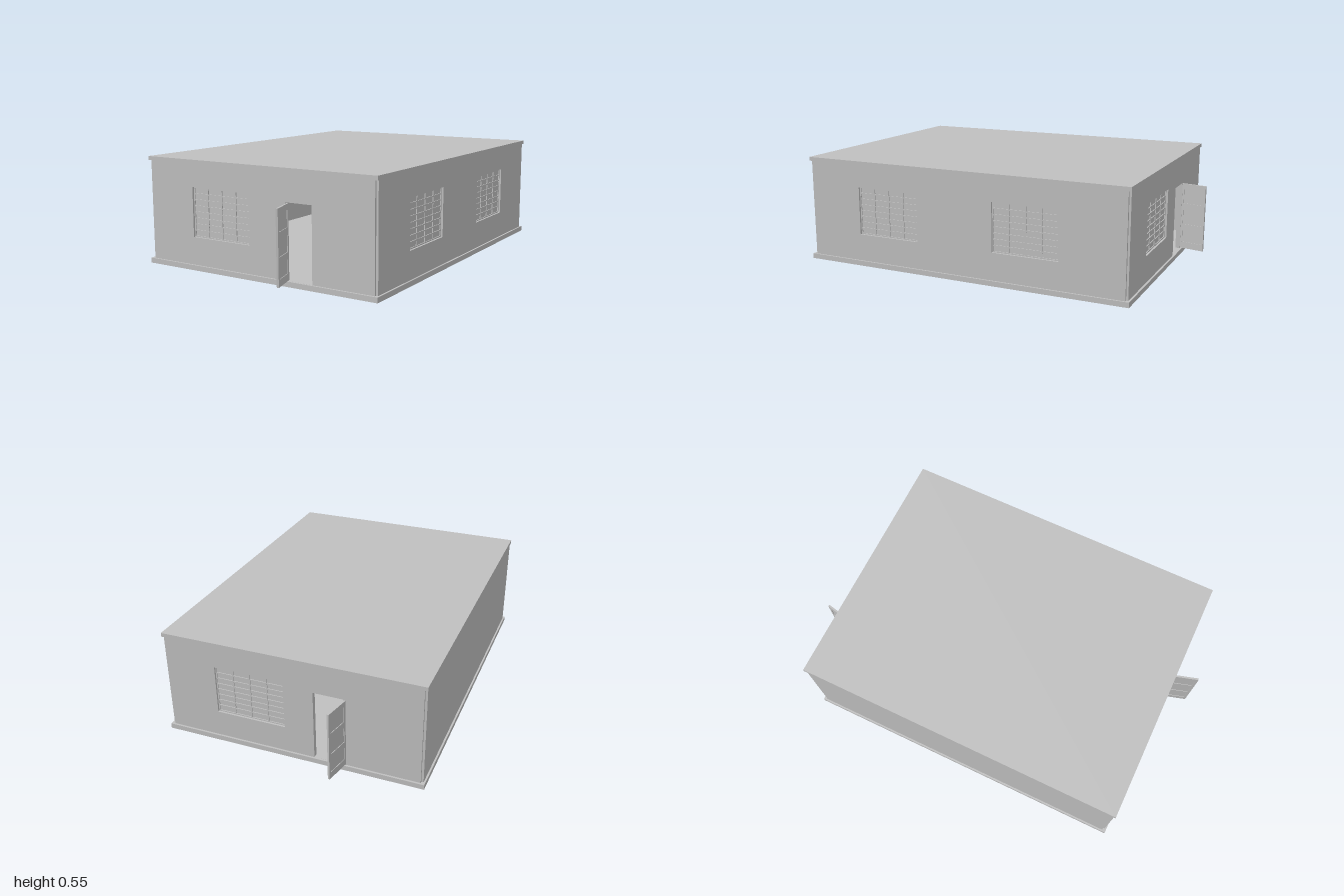
import * as THREE from 'three';

const grey = new THREE.MeshStandardMaterial({ color: 0xc0c0c0 });
grey.name = 'plain grey';

const WALL = 0.024, Y0 = 0.026, Y1 = 0.535;

function rectPath(x0, x1, y0, y1, P = THREE.Path) {
  const p = new P();
  p.moveTo(x0, y0);
  p.lineTo(x1, y0);
  p.lineTo(x1, y1);
  p.lineTo(x0, y1);
  p.closePath();
  return p;
}

// Flat panel with rectangular openings, front face at z = 0
function panel(name, outer, holes, depth) {
  const s = rectPath(...outer, THREE.Shape);
  holes.forEach(h => s.holes.push(rectPath(...h)));
  const g = new THREE.ExtrudeGeometry(s, { depth, bevelEnabled: false });
  g.translate(0, 0, -depth);
  const m = new THREE.Mesh(g, grey);
  m.name = name;
  return m;
}

function box(name, w, h, d, x, y, z) {
  const m = new THREE.Mesh(new THREE.BoxGeometry(w, h, d), grey);
  m.name = name;
  m.position.set(x, y, z);
  return m;
}

// Multi-pane window set back in its opening
function makeWindow([x0, x1, y0, y1]) {
  const g = new THREE.Group();
  g.name = 'window';
  const cols = 4, rows = 8, bar = 0.006, holes = [];
  const w = (x1 - x0 - bar) / cols, h = (y1 - y0 - bar) / rows;
  for (let i = 0; i < cols; i++)
    for (let j = 0; j < rows; j++)
      holes.push([x0 + bar + i * w, x0 + (i + 1) * w, y0 + bar + j * h, y0 + (j + 1) * h]);
  const grid = panel('windowBars', [x0, x1, y0, y1], holes, 0.012);
  grid.position.z = -0.01;
  g.add(grid, box('windowPanes', x1 - x0, y1 - y0, 0.003, (x0 + x1) / 2, (y0 + y1) / 2, -0.016));
  return g;
}

// Wall with windows and an optional door opening, outer face at local z = 0
function makeWall(name, half, windows, doors = []) {
  const g = new THREE.Group();
  g.name = name;
  g.add(panel(name + 'Panel', [-half, half, Y0, Y1], [...windows, ...doors], WALL));
  windows.forEach(w => g.add(makeWindow(w)));
  return g;
}

// Three-panel door leaf, hinged at local x = 0
function makeDoor(name) {
  const g = new THREE.Group();
  g.name = name;
  const w = 0.137, t = 0.01;
  const holes = [[0.065, 0.132], [0.165, 0.245], [0.28, 0.36]].map(([a, b]) => [0.014, w - 0.014, a, b]);
  g.add(panel('doorFrame', [0, w, 0.03, 0.388], holes, t));
  g.add(box('doorPanels', w - 0.02, 0.32, 0.004, w / 2, 0.21, -t / 2));
  return g;
}

export function createModel() {
  const model = new THREE.Group();
  model.name = 'building';

  // Floor slab and flat roof
  model.add(box('floorSlab', 1.34, 0.026, 1.76, 0, 0.013, 0));
  model.add(box('roof', 1.33, 0.02, 1.748, 0, 0.54, 0));

  // Front and back walls
  const front = makeWall('frontWall', 0.65, [[-0.38, -0.03, 0.166, 0.415]], [[0.18, 0.325, Y0 + 0.0005, 0.392]]);
  front.position.z = 0.87;
  const back = makeWall('backWall', 0.65, [[-0.39, -0.03, 0.162, 0.415]], [[0.12, 0.27, Y0 + 0.0005, 0.392]]);
  back.position.z = -0.87;
  back.rotation.y = Math.PI;

  // Side walls: windows on the left, blank on the right
  const left = makeWall('leftWall', 0.86, [[-0.57, -0.225, 0.166, 0.415], [0.19, 0.535, 0.166, 0.415]]);
  left.position.x = 0.661;
  left.rotation.y = Math.PI / 2;
  const right = makeWall('rightWall', 0.86, []);
  right.position.x = -0.661;
  right.rotation.y = -Math.PI / 2;
  model.add(front, back, left, right);

  // Open doors swinging outwards
  const frontDoor = makeDoor('frontDoor');
  frontDoor.position.set(0.184, 0, 0.868);
  frontDoor.rotation.y = -1.28;
  const backDoor = makeDoor('backDoor');
  backDoor.position.set(-0.273, 0, -0.866);
  backDoor.rotation.y = 1.36;
  model.add(frontDoor, backDoor);

  return model;
}
